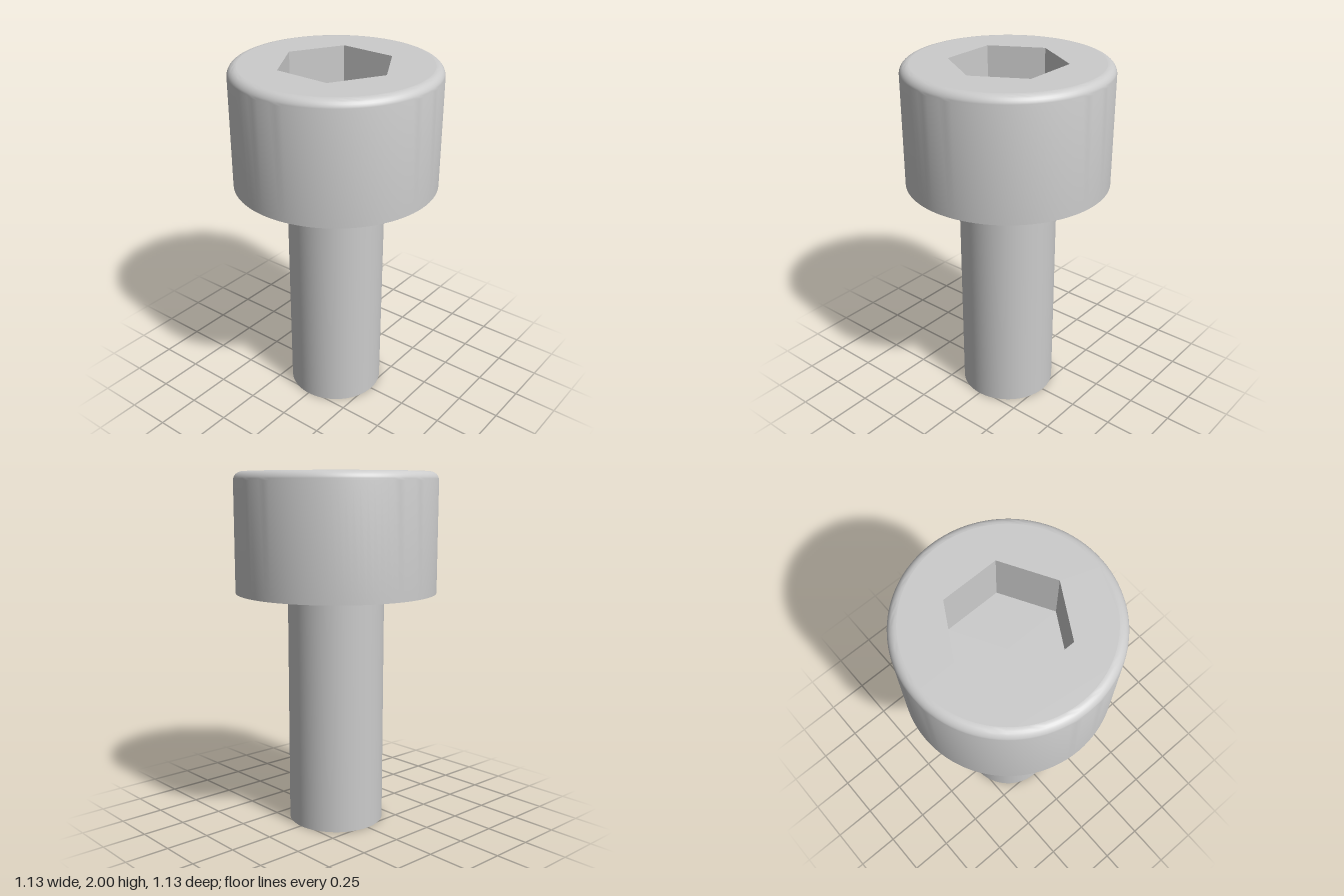
import * as THREE from 'three';
import { toCreasedNormals } from 'three/addons/utils/BufferGeometryUtils.js';

const SEGMENTS = 96;
const TOP = 2, HEAD_BASE = 1.335;
const HEAD_R = 0.565, SHANK_R = 0.272, FILLET = 0.05;
const SOCKET_R = 0.32, SOCKET_DEPTH = 0.333;

const material = new THREE.MeshStandardMaterial({ color: 0xcccccc });

// Revolved part with sharp edges kept crisp
function turned(name, profile, segments = SEGMENTS, start = 0) {
  const points = profile.map(([r, y]) => new THREE.Vector2(r, y));
  const geometry = new THREE.LatheGeometry(points, segments, start);
  const mesh = new THREE.Mesh(toCreasedNormals(geometry, 0.5), material);
  mesh.name = name;
  return mesh;
}

// Points of a regular polygon in the shape plane
function ring(radius, count) {
  return Array.from({ length: count }, (_, i) => {
    const a = (i / count) * Math.PI * 2;
    return new THREE.Vector2(radius * Math.cos(a), radius * Math.sin(a));
  });
}

export function createModel() {
  const model = new THREE.Group();
  model.name = 'socketHeadScrew';

  // Plain shank with a flat end
  model.add(turned('shank', [[0, 0], [SHANK_R, 0], [SHANK_R, HEAD_BASE]]));

  // Head: flat underside, straight side, rounded top rim
  const headProfile = [[SHANK_R, HEAD_BASE], [HEAD_R, HEAD_BASE]];
  for (let i = 0; i <= 8; i++) {
    const a = (i / 8) * Math.PI / 2;
    headProfile.push([
      HEAD_R - FILLET + FILLET * Math.cos(a),
      TOP - FILLET + FILLET * Math.sin(a),
    ]);
  }
  model.add(turned('head', headProfile));

  // Flat top face with the hexagonal opening
  const face = new THREE.Shape(ring(HEAD_R - FILLET, SEGMENTS));
  face.holes.push(new THREE.Path(ring(SOCKET_R, 6)));
  const topFace = new THREE.Mesh(new THREE.ShapeGeometry(face), material);
  topFace.name = 'headTopFace';
  topFace.rotation.x = -Math.PI / 2;
  topFace.position.y = TOP;
  model.add(topFace);

  // Hexagonal socket: inward walls and floor
  const floor = TOP - SOCKET_DEPTH;
  model.add(turned('hexSocket',
    [[SOCKET_R, TOP], [SOCKET_R, floor], [0, floor]], 6, Math.PI / 2));

  return model;
}
